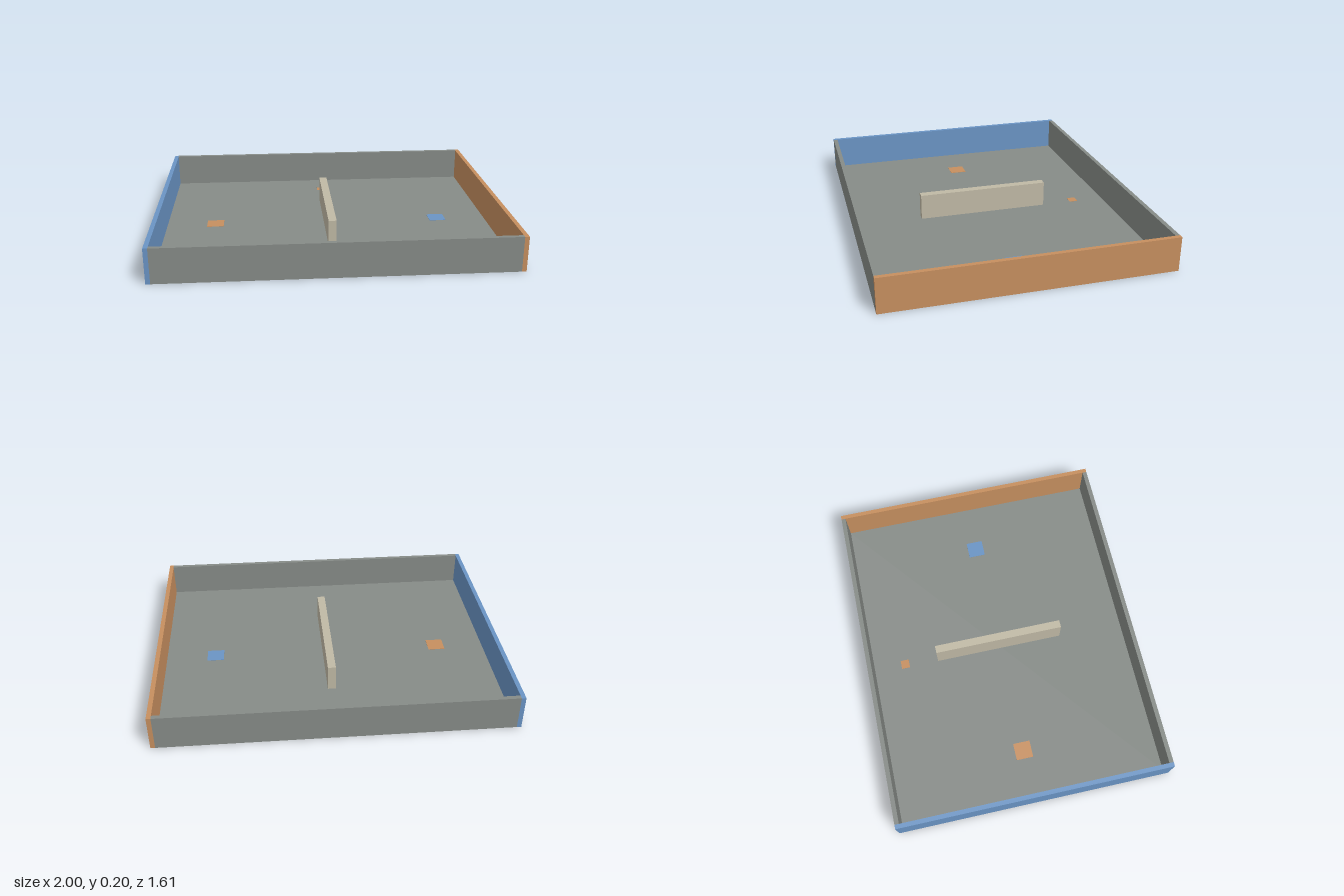
import * as THREE from 'three';

const paint = (name, color) => {
  const m = new THREE.MeshStandardMaterial({ color });
  m.name = name;
  return m;
};

export function createModel() {
  const grey = paint('grey', 0x868b87);
  const orange = paint('orange', 0xc68f5f);
  const blue = paint('blue', 0x6a94c4);
  const cream = paint('cream', 0xc0b9a5);
  const group = new THREE.Group();
  group.name = 'arena';

  // Box standing on height y, centred on x and z
  const box = (name, mat, w, h, d, x = 0, y = 0, z = 0) => {
    const mesh = new THREE.Mesh(new THREE.BoxGeometry(w, h, d), mat);
    mesh.name = name;
    mesh.position.set(x, y + h / 2, z);
    group.add(mesh);
  };

  const W = 2, D = 1.61, H = 0.2, T = 0.025;
  const innerW = W - 2 * T, innerD = D - 2 * T;

  // Floor between the walls
  box('floor', grey, innerW, 0.004, innerD);

  // Side walls run the full depth, end walls fit between them
  for (const s of [-1, 1]) {
    box(s < 0 ? 'rightWall' : 'leftWall', s < 0 ? blue : orange, T, H, D, s * (W - T) / 2);
    box(s < 0 ? 'backWall' : 'frontWall', grey, innerW, H, T, 0, 0, s * (D - T) / 2);
  }

  // Low divider in the middle
  box('divider', cream, 0.046, 0.155, 0.775);

  // Floor markers
  box('rightMarker', orange, 0.1, 0.003, 0.1, -0.685, 0.003);
  box('leftMarker', blue, 0.1, 0.003, 0.1, 0.68, 0.003);
  box('backMarker', orange, 0.052, 0.003, 0.05, 0, 0.003, -0.59);

  return group;
}
